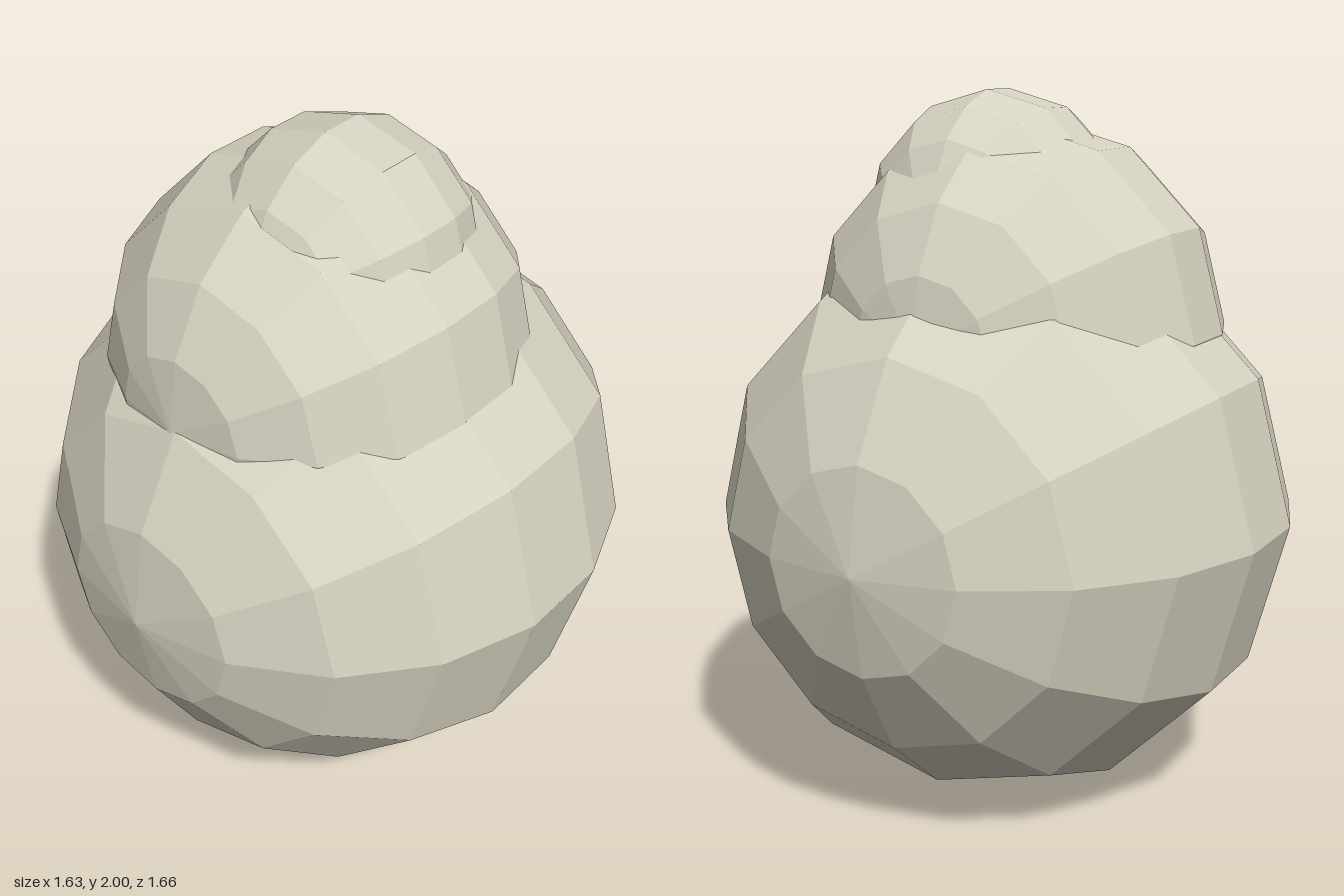
import * as THREE from 'three';

export function createModel() {
  const group = new THREE.Group();
  group.name = 'stackedScoops';

  const cream = new THREE.MeshStandardMaterial({ color: 0xd6d2c0 });
  cream.name = 'cream';
  cream.flatShading = true;

  // Each ball is a faceted sphere whose poles point to the front and back
  const balls = [
    { name: 'bottomBall', radius: 0.829, position: [0, 0.8165, 0] },
    { name: 'middleBall', radius: 0.59, position: [-0.015, 1.34, 0.048] },
    { name: 'topBall', radius: 0.372, position: [0.05, 1.634, 0.035] },
  ];

  for (const { name, radius, position } of balls) {
    const geometry = new THREE.SphereGeometry(radius, 12, 9).rotateX(Math.PI / 2);
    const mesh = new THREE.Mesh(geometry, cream);
    mesh.name = name;
    mesh.position.set(...position);
    group.add(mesh);
  }

  return group;
}
